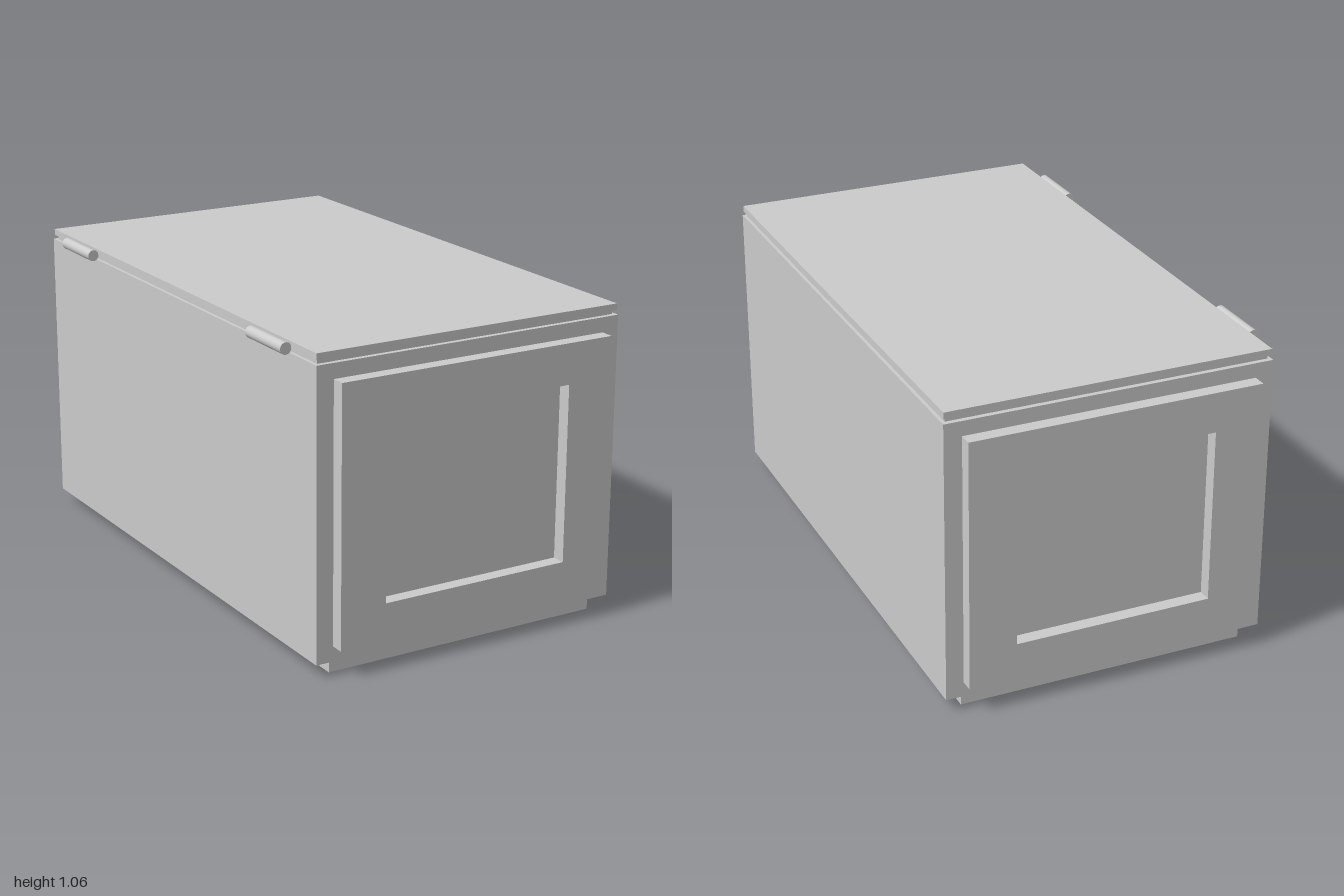
import * as THREE from 'three';

const material = new THREE.MeshStandardMaterial({ color: 0xcccccc });
const CX = 0.017; // the hinges on one side shift the cabinet off centre

export function createModel() {
  const model = new THREE.Group();
  model.name = 'cabinet';

  const add = (name, geometry, x, y, z) => {
    const mesh = new THREE.Mesh(geometry, material);
    mesh.name = name;
    mesh.position.set(x, y, z);
    model.add(mesh);
    return mesh;
  };
  // Box spanning y0 to y1, centred on the cabinet
  const box = (name, w, d, y0, y1, z = 0) =>
    add(name, new THREE.BoxGeometry(w, y1 - y0, d), CX, (y0 + y1) / 2, z);

  // Body, recessed seam and lid
  box('body', 1.138, 1.904, 0.047, 1.027);
  box('lidSeam', 1.115, 1.87, 1.027, 1.042);
  box('lid', 1.132, 1.894, 1.042, 1.064);

  // Raised frame with a rectangular opening
  const frame = new THREE.Shape();
  frame.moveTo(-0.508, 0.099).lineTo(0.508, 0.099).lineTo(0.508, 0.976).lineTo(-0.508, 0.976).closePath();
  const opening = new THREE.Path();
  opening.moveTo(-0.344, 0.227).lineTo(-0.344, 0.837).lineTo(0.344, 0.837).lineTo(0.344, 0.227).closePath();
  frame.holes.push(opening);
  const frameGeometry = new THREE.ExtrudeGeometry(frame, { depth: 0.048, bevelEnabled: false });

  // Feet, end frames and hinges, mirrored front to back
  for (const [end, s] of [['front', 1], ['back', -1]]) {
    box(end + 'Foot', 1.016, 0.142, 0, 0.047, s * 0.856);

    const panel = add(end + 'Frame', frameGeometry, CX, 0, s * 0.952);
    if (s < 0) panel.rotation.y = Math.PI;

    const hinge = add(end + 'Hinge', new THREE.CylinderGeometry(0.02, 0.02, 0.221, 32), -0.568, 1.044, s * 0.685);
    hinge.rotation.x = Math.PI / 2;
  }
  return model;
}
